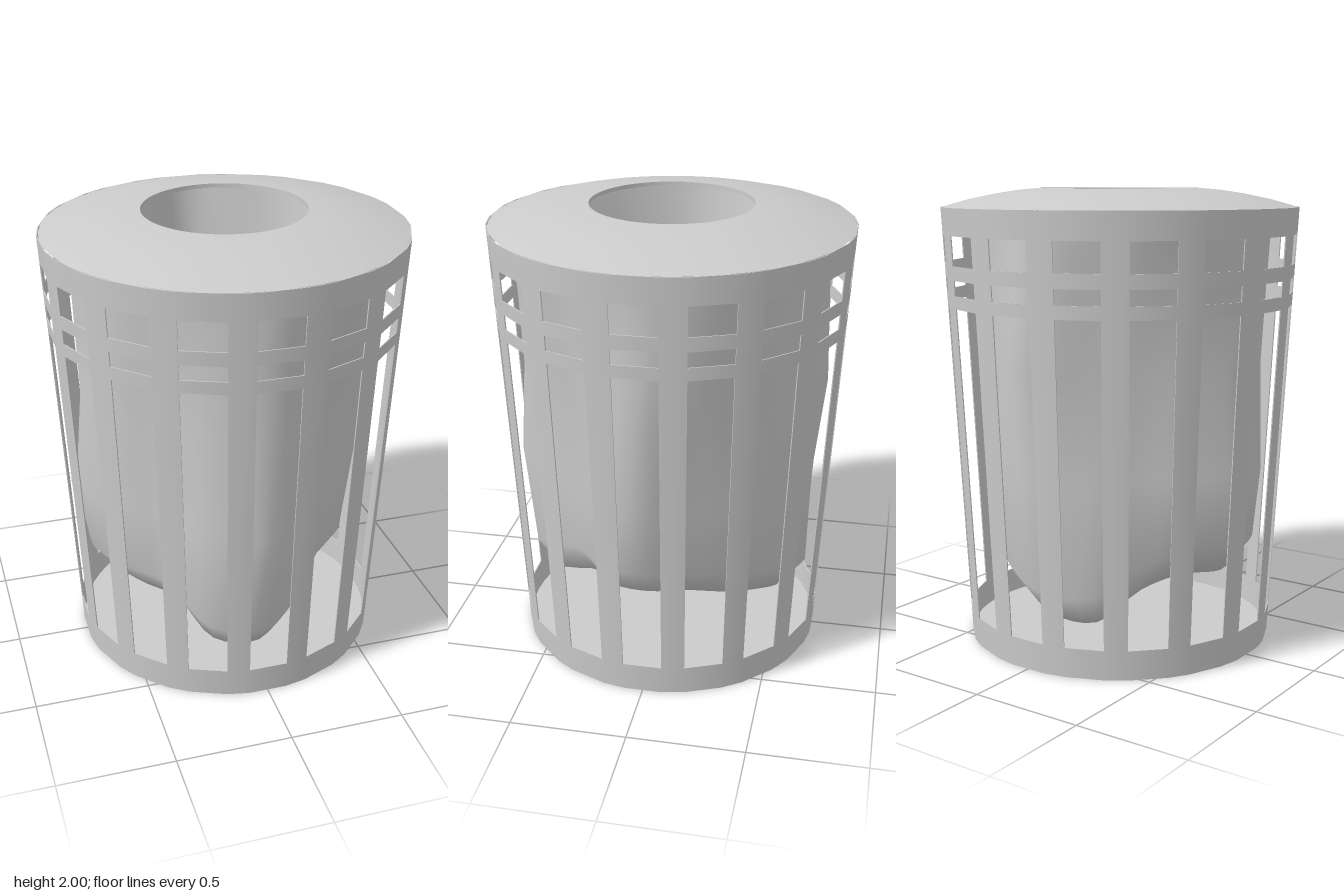
import * as THREE from 'three';
import { mergeGeometries } from 'three/addons/utils/BufferGeometryUtils.js';

const material = new THREE.MeshStandardMaterial({ color: 0xcccccc, side: THREE.DoubleSide });
const H = 1.92, R0 = 0.68, R1 = 0.782, THICK = 0.005;
const radiusAt = y => R0 + (R1 - R0) * y / H;
const BAYS = 16, STEP = Math.PI * 2 / BAYS, OPEN = STEP * 0.63;

// One flat, thin piece of the tapered wall, bent from a unit box
function panel(start, width, y0, y1) {
  const g = new THREE.BoxGeometry(1, 1, 1), p = g.attributes.position;
  for (let i = 0; i < p.count; i++) {
    const a = start + (p.getX(i) + 0.5) * width;
    const y = y0 + (p.getY(i) + 0.5) * (y1 - y0);
    const r = radiusAt(y) + (p.getZ(i) - 0.5) * THICK;
    p.setXYZ(i, r * Math.sin(a), y, r * Math.cos(a));
  }
  g.computeVertexNormals();
  // Radial normals on the outer and inner faces keep the wall round
  const n = g.attributes.normal;
  for (let i = 16; i < 24; i++) {
    const r = Math.hypot(p.getX(i), p.getZ(i)) * (i < 20 ? 1 : -1);
    n.setXYZ(i, p.getX(i) / r, i < 20 ? -0.05 : 0.05, p.getZ(i) / r);
  }
  return g;
}

// Surface through a stack of closed rings with equal point counts
function loft(rings) {
  const n = rings[0].length, pos = [], index = [];
  rings.forEach(ring => ring.forEach(p => pos.push(p.x, p.y, p.z)));
  for (let j = 0; j < rings.length - 1; j++) {
    for (let i = 0; i < n; i++) {
      const a = j * n + i, b = j * n + (i + 1) % n;
      index.push(a, a + n, b, b, a + n, b + n);
    }
  }
  const g = new THREE.BufferGeometry();
  g.setAttribute('position', new THREE.Float32BufferAttribute(pos, 3));
  g.setIndex(index);
  g.computeVertexNormals();
  return g;
}

// Crumpled liner with four main lobes: sixteen directions from +x towards +z
function bagGeometry() {
  const low = [.35, .34, .33, .26, .17, .18, .32, .35, .34, .35, .30, .17, .19, .26, .31, .35];
  const rows = [
    [.54, .53, .48, .54, .64, .62, .55, .60, .64, .57, .56, .62, .65, .60, .55, .53],
    [.61, .55, .48, .55, .69, .64, .55, .61, .69, .57, .52, .58, .66, .61, .56, .56],
    [.69, .59, .52, .58, .66, .64, .57, .62, .65, .58, .53, .57, .71, .63, .58, .60],
    [.65, .62, .58, .61, .67, .64, .60, .64, .66, .61, .58, .60, .70, .61, .60, .62],
    [.67, .66, .65, .66, .68, .66, .65, .66, .67, .65, .65, .65, .69, .62, .65, .66],
  ];
  const heights = [0, 0.8, 1.25, 1.6, 1.9];
  const ring = (radius, height) => new THREE.CatmullRomCurve3(low.map((b, i) => {
    const a = i * STEP, r = radius(i);
    return new THREE.Vector3(r * Math.cos(a), height(b, i), r * Math.sin(a) + 0.02);
  }), true).getPoints(64).slice(0, 64);
  const rings = [
    ring(() => 0.002, () => 0.46),
    ring(() => 0.09, b => 0.36 + b * 0.22),
    ring(i => rows[0][i] * 0.36, b => b + 0.06),
    ring(i => rows[0][i] * 0.55, b => b + 0.005),
    ring(i => rows[0][i] * 0.82, b => b + 0.01),
  ];
  rows.forEach((row, k) => rings.push(ring(i => row[i], b => k ? heights[k] : b + 0.15)));
  return loft(rings);
}

export function createModel() {
  const group = new THREE.Group();
  const add = (name, geometry) => {
    const mesh = new THREE.Mesh(geometry, material);
    mesh.name = name;
    group.add(mesh);
  };

  // Slats run full height; horizontal bands bridge the openings between them
  const slats = [], bands = [];
  for (let i = 0; i < BAYS; i++) {
    const start = i * STEP - OPEN / 2;
    slats.push(panel(start + OPEN, STEP - OPEN, 0, H));
    for (const [y0, y1] of [[0, 0.13], [1.5, 1.555], [1.62, 1.68], [1.805, H]]) {
      bands.push(panel(start, OPEN, y0, y1));
    }
  }
  add('slats', mergeGeometries(slats));
  add('bands', mergeGeometries(bands));

  // Base plate set just inside the lower edge
  add('floor', new THREE.CylinderGeometry(0.67, 0.67, 0.01, 48).translate(0, 0.015, 0));

  // Domed lid with a round opening and a short inner lip
  const profile = [[0.773, 1.92], [0.66, 1.952], [0.54, 1.977], [0.44, 1.992], [0.35, 2.0]];
  const points = list => list.map(([r, y]) => new THREE.Vector2(r, y));
  add('lid', new THREE.LatheGeometry(points(profile), 64));
  add('lidLip', new THREE.LatheGeometry(points([[0.35, 2.0], [0.35, 1.982]]), 64));

  add('linerBag', bagGeometry());
  return group;
}
